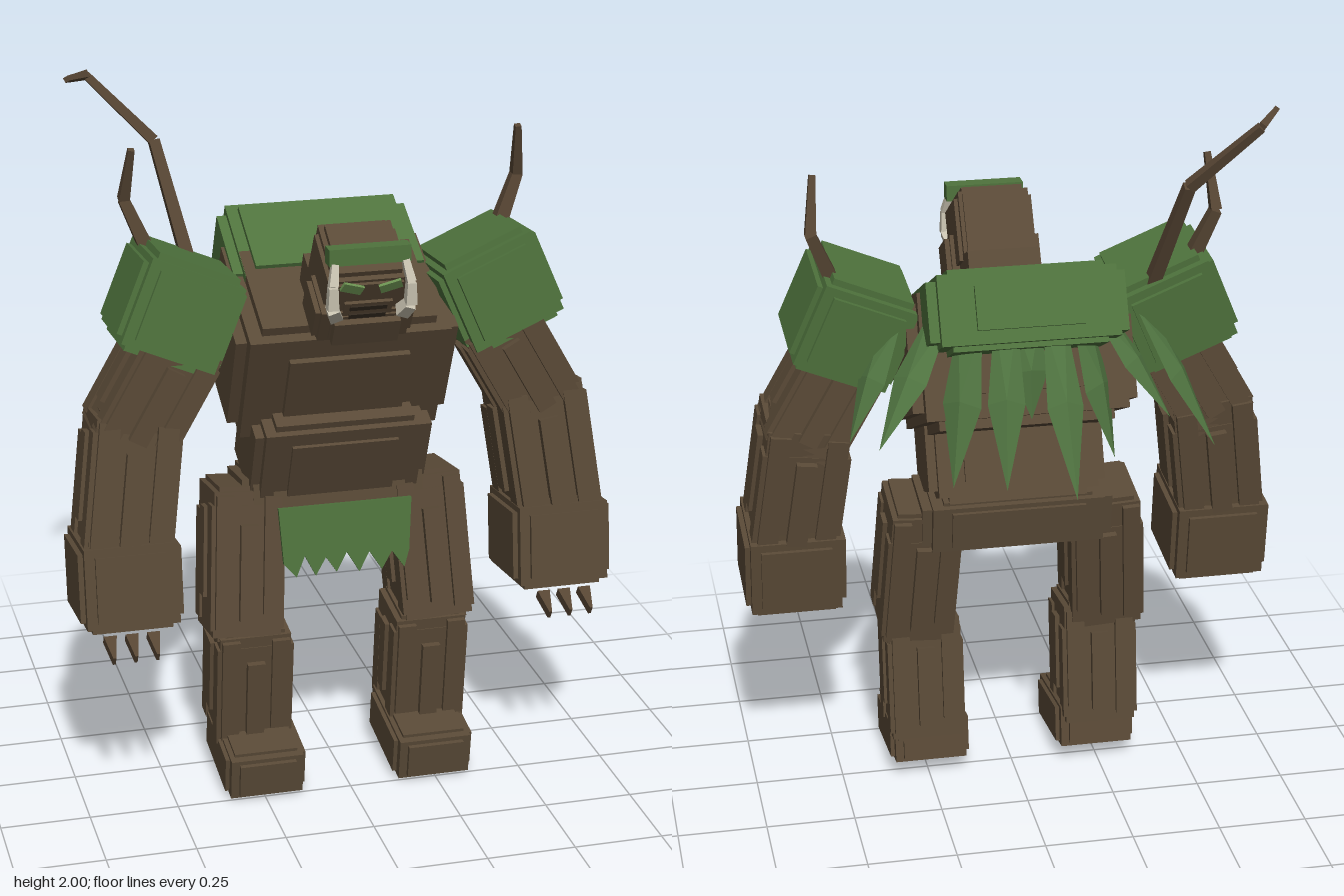
import * as THREE from 'three';
import { mergeGeometries } from 'three/addons/utils/BufferGeometryUtils.js';

const make = (name, color, side = THREE.FrontSide) => {
  const m = new THREE.MeshStandardMaterial({ color, side });
  m.name = name;
  return m;
};

export function createModel() {
  const model = new THREE.Group();
  model.name = 'forestBrute';
  const bark = make('bark brown', 0x5a4a37);
  const branch = make('branch brown', 0x564533);
  const dark = make('dark brown', 0x32281e);
  const moss = make('moss green', 0x4f733d);
  const leafGreen = make('leaf green', 0x4f7340, THREE.DoubleSide);
  const ivory = make('ivory', 0xc8c2b0);
  const eyeGreen = make('eye green', 0x6a9050);

  const add = (name, geo, mat, pos = [0, 0, 0], rot = [0, 0, 0], parent = model) => {
    const mesh = new THREE.Mesh(geo, mat);
    mesh.name = name;
    mesh.position.set(...pos);
    mesh.rotation.set(...rot);
    parent.add(mesh);
    return mesh;
  };
  const box = (w, h, d, x = 0, y = 0, z = 0) => new THREE.BoxGeometry(w, h, d).translate(x, y, z);

  // Block with stepped edges: overlapping boxes, each longest along one axis
  const stepped = (w, h, d, f = 0.7) => mergeGeometries([
    box(w, h * 0.74, d * 0.76),
    box(w * 0.78, h, d * 0.78),
    box(w * 0.9, h * 0.87, d * 0.92),
    box(w * f, h * f, d),
  ]);

  // Limb block wrapped in uneven planks
  const limb = (w, h, d, s) => {
    const parts = [box(w * 0.88, h * 0.94, d * 0.82), box(w * 0.74, h, d * 0.74)];
    const planks = [[-0.31, 0.06, 0.76], [0, -0.05, 0.62], [0.31, 0.02, 0.86]];
    planks.forEach(([u, v, len], i) => {
      const out = i === 1 ? 1 : 0.95;
      parts.push(box(w * 0.22, h * len, d * out, s * u * w, v * h, 0));
      parts.push(box(w * out, h * len * 0.94, d * 0.22, 0, -v * h, u * d));
    });
    return mergeGeometries(parts);
  };

  // Torso
  add('chest', stepped(0.62, 0.4, 0.43, 0.54), bark, [0, 1.272, 0.0], [0.44, 0, 0]);
  add('abdomen', stepped(0.5, 0.3, 0.26, 0.6), bark, [0, 0.985, 0.04], [0.4, 0, 0]);
  add('pelvis', stepped(0.54, 0.16, 0.25), bark, [0, 0.825, 0], [-0.15, 0, 0]);
  add('neck', box(0.2, 0.16, 0.2), bark, [0, 1.43, 0.17], [0.44, 0, 0]);
  add('mantle', stepped(0.54, 0.22, 0.31, 0.54), moss, [0, 1.45, -0.13], [0.47, 0, 0]);

  // Head and face
  const head = new THREE.Group();
  head.name = 'head';
  head.position.set(0, 1.525, 0.3);
  head.rotation.x = 0.55;
  model.add(head);
  add('skull', stepped(0.22, 0.24, 0.22, 0.8), bark, [0, 0, 0], [0, 0, 0], head);
  add('muzzle', box(0.13, 0.1, 0.03, 0, -0.015, 0.105), bark, [0, 0, 0], [0, 0, 0], head);
  for (const y of [-0.045, -0.01, 0.02]) {
    add('mouthGroove', box(0.1, 0.014, 0.006), dark, [0, y, 0.122], [0, 0, 0], head);
  }
  add('jaw', stepped(0.27, 0.12, 0.15), bark, [0, 1.455, 0.315], [0.55, 0, 0]);
  add('chin', box(0.18, 0.075, 0.08), bark, [0, 1.42, 0.36], [0.5, 0, 0]);
  add('brow', box(0.22, 0.045, 0.045), moss, [0, 1.623, 0.41]);

  // Square-section rod running through points, tapering along its length
  const rod = (points, r0, r1) => {
    const p = points.map((a) => new THREE.Vector3(...a));
    const n = p.length - 1;
    const rad = (i) => r0 + (r1 - r0) * i / n;
    return mergeGeometries(p.slice(0, -1).map((a, i) => {
      const dir = p[i + 1].clone().sub(a);
      const g = new THREE.CylinderGeometry(rad(i + 1), rad(i), dir.length(), 4, 1).rotateY(Math.PI / 4).toNonIndexed();
      g.computeVertexNormals();
      g.applyQuaternion(new THREE.Quaternion().setFromUnitVectors(new THREE.Vector3(0, 1, 0), dir.normalize()));
      return g.translate(...a.clone().add(p[i + 1]).multiplyScalar(0.5).toArray());
    }));
  };

  // Flat wedge claw, pointed along +y
  const clawShape = new THREE.Shape([[-0.018, -0.038], [0.018, -0.038], [0.004, 0.038], [-0.004, 0.038]]
    .map(([x, y]) => new THREE.Vector2(x, y)));
  const claw = new THREE.ExtrudeGeometry(clawShape, { depth: 0.028, bevelEnabled: false }).translate(0, 0, -0.014);

  for (const s of [1, -1]) {
    const side = s > 0 ? 'left' : 'right';
    const part = (name, geo, mat, [x, y, z], [rx, ry, rz] = [0, 0, 0]) =>
      add(side + name, geo, mat, [x * s, y, z], [rx, ry * s, rz * s]);
    const m = (pts) => pts.map(([x, y, z]) => [x * s, y, z]);

    // Face details
    add(side + 'Eye', box(0.06, 0.028, 0.008), eyeGreen, [s * 0.052, 0.09, 0.114], [0, 0, s * 0.35], head);
    part('Tusk', rod(m([[0.09, 1.46, 0.415], [0.105, 1.49, 0.445], [0.105, 1.55, 0.45], [0.095, 1.605, 0.43]]), 0.025, 0.013), ivory, [0, 0, 0]);

    // Arm
    part('ShoulderPad', stepped(0.3, 0.28, 0.33), moss, [0.445, 1.405, 0.04], [-0.08, 0, 0.4]);
    part('UpperArm', limb(0.24, 0.36, 0.26, s), bark, [0.515, 1.185, 0.07], [0, 0, 0.52]);
    part('Forearm', limb(0.26, 0.42, 0.27, s), bark, [0.595, 0.92, 0.09], [-0.13, 0, 0.13]);
    part('Hand', stepped(0.285, 0.26, 0.3), bark, [0.615, 0.67, 0.125], [-0.12, 0, 0]);
    for (const x of [0.56, 0.62, 0.68]) part('Claw', claw, branch, [x, 0.517, 0.285], [2.09, 0, 0]);

    // Leg
    part('Thigh', limb(0.22, 0.44, 0.25, s), bark, [0.268, 0.65, 0.04], [-0.16, 0, 0.06]);
    part('Shin', limb(0.23, 0.38, 0.23, s), bark, [0.255, 0.295, 0.06], [0.13, 0, 0]);
    part('Foot', stepped(0.23, 0.14, 0.33), bark, [0.245, 0.088, 0.11], [0.15, 0, 0]);

    // Short branch on the shoulder
    part('ShortBranch', rod(m([[0.48, 1.5, -0.03], [0.555, 1.68, -0.06], [0.54, 1.83, -0.01]]), 0.03, 0.012), branch, [0, 0, 0]);
  }

  // Tall branch on the right shoulder only
  add('tallBranch', rod([[-0.375, 1.48, -0.075], [-0.44, 1.8, -0.21], [-0.61, 1.975, -0.285], [-0.68, 1.99, -0.18]], 0.026, 0.01), branch);

  // Ragged cloth at the waist
  const cloth = new THREE.Shape();
  cloth.moveTo(-0.19, 0.1);
  const hem = [[-0.18, -0.06], [-0.145, -0.1], [-0.12, -0.04], [-0.09, -0.1], [-0.06, -0.05], [-0.03, -0.095],
    [0, -0.04], [0.035, -0.1], [0.065, -0.045], [0.1, -0.1], [0.13, -0.05], [0.165, -0.1], [0.18, -0.05], [0.19, 0.1]];
  hem.forEach(([x, y]) => cloth.lineTo(x, y));
  add('waistCloth', new THREE.ExtrudeGeometry(cloth, { depth: 0.012, bevelEnabled: false }), moss, [0, 0.74, 0.185], [-0.12, 0, 0]);

  // Folded, pointed leaf from base to tip, facing the way it spreads
  const leaf = (base, tip, width) => {
    const a = new THREE.Vector3(...base), b = new THREE.Vector3(...tip);
    const dir = b.clone().sub(a);
    const out = new THREE.Vector3(dir.x, 0, dir.z).normalize();
    const across = out.clone().cross(dir).normalize();
    const at = (t, u, lift) => a.clone().lerp(b, t).addScaledVector(across, u * width).addScaledVector(out, lift);
    const mid = at(0.45, 0, 0.025);
    const l0 = at(0, -0.3, 0), r0 = at(0, 0.3, 0), l1 = at(0.5, -0.5, 0), r1 = at(0.5, 0.5, 0);
    const tris = [l0, mid, r0, l0, l1, mid, r0, mid, r1, l1, b, mid, mid, b, r1];
    const g = new THREE.BufferGeometry().setFromPoints(tris);
    g.computeVertexNormals();
    return g;
  };
  const leaves = [
    [[-0.07, 1.47, -0.23], [-0.09, 1.03, -0.46], 0.1],
    [[0.06, 1.47, -0.23], [0.09, 1.05, -0.41], 0.1],
    [[-0.2, 1.47, -0.17], [-0.38, 1.18, -0.3], 0.11],
    [[0.22, 1.47, -0.15], [0.42, 1.16, -0.33], 0.11],
    [[-0.34, 1.44, -0.09], [-0.53, 1.05, -0.22], 0.11],
    [[0.34, 1.44, -0.09], [0.48, 1.13, -0.19], 0.1],
    [[-0.15, 1.45, -0.2], [-0.23, 1.07, -0.29], 0.11],
    [[0.15, 1.45, -0.2], [0.22, 1.03, -0.32], 0.11],
    [[0, 1.45, -0.23], [0, 1.2, -0.29], 0.1],
  ];
  leaves.forEach(([base, tip, w]) => add('backLeaf', leaf(base, tip, w), leafGreen));

  return model;
}
